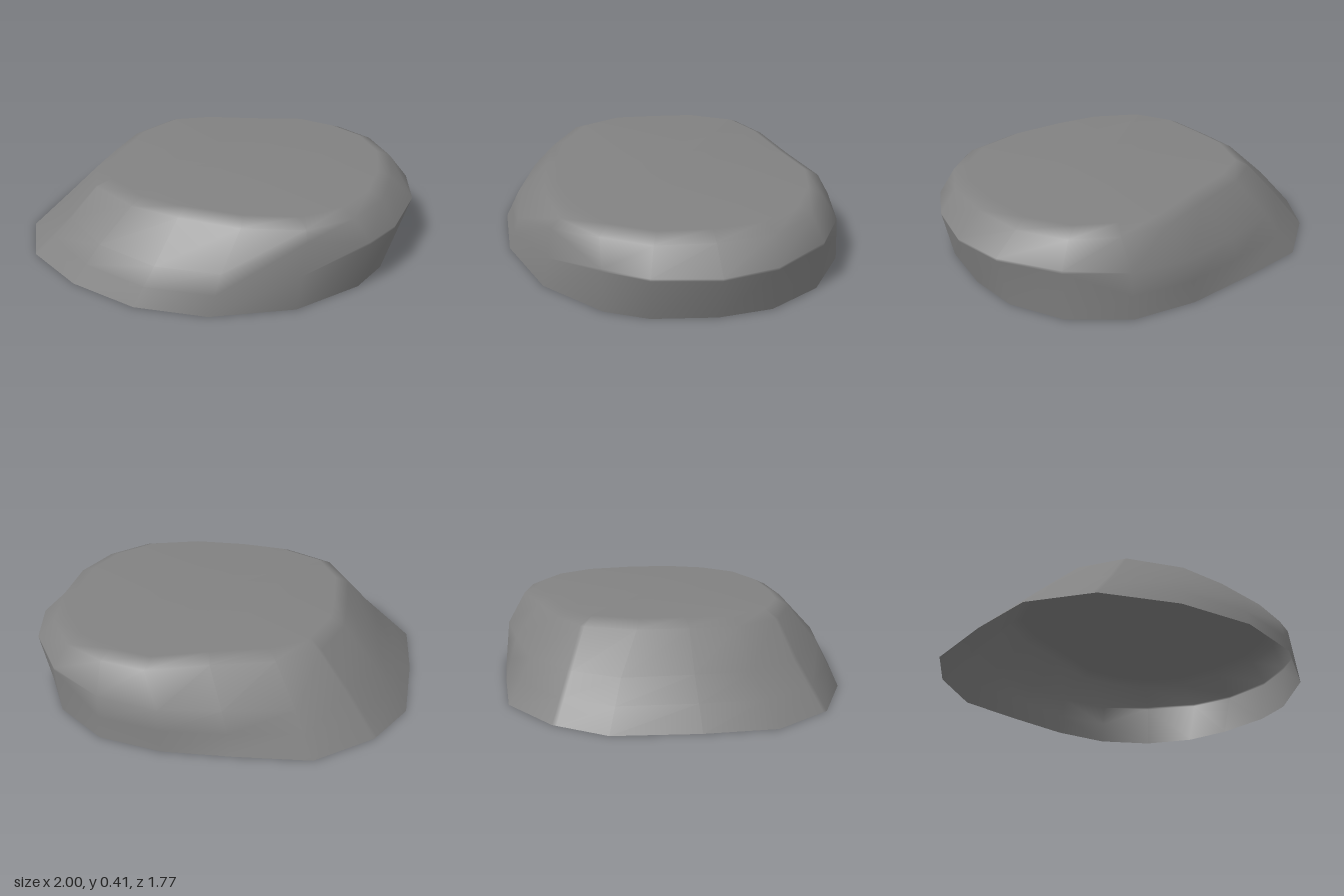
import * as THREE from 'three';

// Outlines as [x, z] pairs, running left -> front -> right -> back
const base = [
  [-1, 0], [-1, 0.34], [-0.83, 0.62], [-0.51, 0.8], [-0.15, 0.885], [0.21, 0.845],
  [0.58, 0.66], [0.82, 0.38], [0.9, 0.17], [0.925, -0.14], [0.89, -0.4], [0.75, -0.65],
  [0.5, -0.83], [0.19, -0.885], [-0.15, -0.87], [-0.52, -0.84], [-0.8, -0.64], [-0.96, -0.4],
];
// The shoulder also has a height: [x, z, y]
const shoulder = [
  [-0.8, 0, 0.2], [-0.8, 0.26, 0.2], [-0.65, 0.53, 0.2], [-0.39, 0.72, 0.2], [-0.07, 0.8, 0.19], [0.25, 0.78, 0.2],
  [0.6, 0.6, 0.33], [0.86, 0.38, 0.26], [0.95, 0.17, 0.25], [1, -0.14, 0.26], [0.94, -0.4, 0.26], [0.76, -0.66, 0.26],
  [0.5, -0.81, 0.23], [0.2, -0.86, 0.22], [-0.09, -0.81, 0.21], [-0.42, -0.73, 0.2], [-0.65, -0.56, 0.2], [-0.79, -0.33, 0.2],
];
const rim = [
  [-0.56, 0], [-0.56, 0.22], [-0.46, 0.42], [-0.23, 0.54], [0, 0.57], [0.28, 0.57],
  [0.54, 0.5], [0.71, 0.34], [0.8, 0.13], [0.81, -0.12], [0.77, -0.37], [0.64, -0.56],
  [0.46, -0.66], [0.26, -0.7], [0, -0.62], [-0.27, -0.55], [-0.45, -0.45], [-0.55, -0.22],
];

const lerp = (a, b, t) => a.map((v, k) => v + (b[k] - v) * t);

// Doubles the two corner columns of the sloping side so their creases stay crisp
const creaseCorners = (loop) => loop.flatMap((p, i) => {
  if (i === 2) return [lerp(p, loop[1], 0.08), p];
  if (i === 16) return [p, lerp(p, loop[17], 0.08)];
  return [p];
});

// Skin joining closed loops from bottom to top, closed by a fan at the last one
function loftShell(loops, centre) {
  const n = loops[0].length;
  const index = [];
  for (let k = 0; k < loops.length - 1; k++) {
    for (let i = 0; i < n; i++) {
      const j = (i + 1) % n;
      const a = k * n + i, b = k * n + j;
      index.push(a, b, b + n, a, b + n, a + n);
    }
  }
  const last = (loops.length - 1) * n;
  for (let i = 0; i < n; i++) index.push(loops.length * n, last + i, last + ((i + 1) % n));

  const geometry = new THREE.BufferGeometry();
  const points = [...loops.flat(), centre];
  geometry.setAttribute('position', new THREE.Float32BufferAttribute(points.flat(), 3));
  geometry.setIndex(index);
  geometry.computeVertexNormals();
  return geometry;
}

export function createModel() {
  const group = new THREE.Group();
  group.name = 'hollowCap';

  // The top tilts very slightly down towards +x
  const topHeight = (x) => 0.403 - 0.004 * x;
  const [cx, cz] = [0.12, -0.05];
  const spread = 1.105;

  const bottomLoop = base.map(([x, z]) => [x, 0, z]);
  const shoulderLoop = shoulder.map(([x, z, y]) => [x, y, z]);
  const loops = [
    bottomLoop,
    // support loop: close under the shoulder at +x, where the crease is sharp
    shoulderLoop.map((p, i) => lerp(p, bottomLoop[i], p[0] > 0.7 ? 0.06 : 0.5)),
    shoulderLoop,
    // bevel: the rim widened about the middle of the top
    rim.map(([x, z]) => [cx + (x - cx) * spread, 0.37, cz + (z - cz) * spread]),
    rim.map(([x, z]) => [x, topHeight(x), z]),
  ].map(creaseCorners);

  // Thin shell, open underneath
  const shell = new THREE.Mesh(
    loftShell(loops, [cx, topHeight(cx), cz]),
    new THREE.MeshStandardMaterial({ color: 0x828282, side: THREE.DoubleSide }),
  );
  shell.name = 'shell';
  group.add(shell);
  return group;
}
